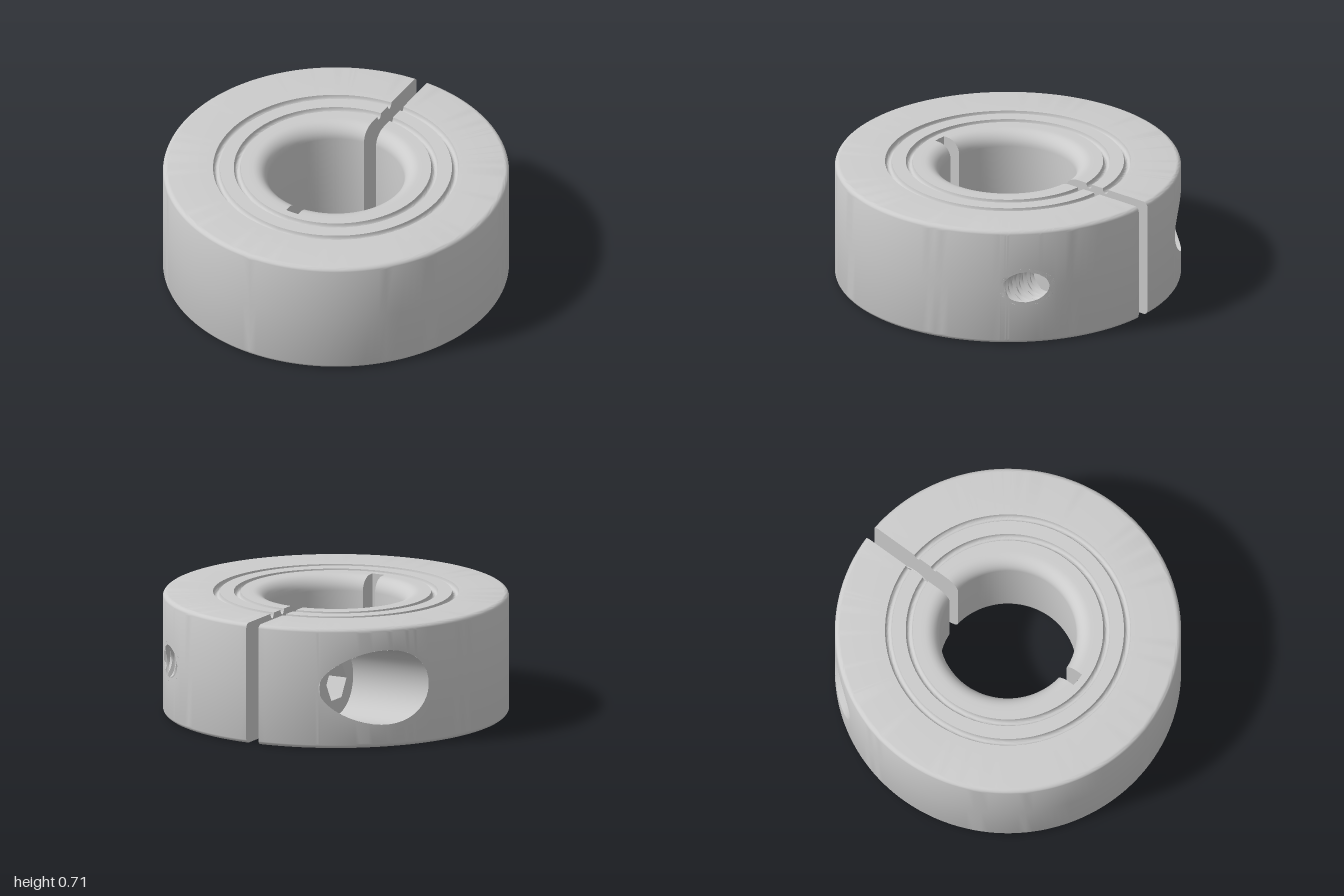
import * as THREE from 'three';
import { toCreasedNormals } from 'three/addons/utils/BufferGeometryUtils.js';

const H = 0.71, BORE = 0.395, FILLET = 0.085, EDGE = 0.03;
const GAP = 0.04;               // half width of slot and notch
const NOTCH = 0.508;            // radius reached by the inner notch
const YC = 0.355, ZC = -0.7;    // screw axis, parallel to x
const HEAD_X = -0.39, TIP_X = 0.5, THREAD_R = 0.115, COUNTERBORE_R = 0.22;

const material = new THREE.MeshStandardMaterial({ color: 0xcccccc, side: THREE.DoubleSide });

function mesh(name, geometry, parent) {
  const m = new THREE.Mesh(geometry, material);
  m.name = name;
  parent.add(m);
  return m;
}

// Surface through a grid of points; point(i, j) returns [x, y, z]
function grid(rows, cols, point, flip = false) {
  const pos = [], index = [];
  for (let i = 0; i < rows; i++) for (let j = 0; j < cols; j++) {
    pos.push(...point(i, j));
    if (i === rows - 1 || j === cols - 1) continue;
    const a = i * cols + j, b = a + cols, c = a + 1, d = b + 1;
    index.push(...(flip ? [a, c, b, b, c, d] : [a, b, c, b, d, c]));
  }
  const g = new THREE.BufferGeometry();
  g.setAttribute('position', new THREE.Float32BufferAttribute(pos, 3));
  g.setIndex(index);
  return toCreasedNormals(g, 0.6);
}

// Quarter or half ellipse as [radius, height] points
function arc(cr, cy, a, b, from, to, n) {
  return Array.from({ length: n + 1 }, (_, i) => {
    const t = (from + (to - from) * i / n) * Math.PI;
    return [cr + a * Math.cos(t), cy + b * Math.sin(t)];
  });
}

// Ring section, counter-clockwise from the top of the outer wall to its foot.
// A third value marks points which the notch cuts.
const cut = (points) => points.map(([r, y]) => [r, y, true]);
const section = [
  ...arc(1 - EDGE, H - EDGE, EDGE, EDGE, 0, 0.5, 6),
  ...arc(0.69, H, 0.02, 0.03, 0, -1, 8),
  ...arc(0.57, H, 0.02, 0.03, 0, -1, 8),
  [NOTCH, H], [NOTCH, H, true],
  ...cut(arc(BORE + FILLET, H - FILLET, FILLET, FILLET, 0.5, 1, 8)),
  ...cut(arc(BORE + FILLET, FILLET, FILLET, FILLET, 1, 1.5, 8)),
  [NOTCH, 0, true], [NOTCH, 0],
  ...arc(1 - EDGE, EDGE, EDGE, EDGE, -0.5, 0, 6),
];

// Half ring with a round side opening of the given radius
function halfShell(side, holeR) {
  const start = Math.asin(GAP);
  const h0 = Math.acos(-(ZC - holeR)), h1 = Math.acos(-(ZC + holeR));
  const angles = [];
  for (let i = 0; i <= 72; i++) {
    const t = start + (Math.PI - start) * i / 72;
    if (t < h0 - 0.005 || t > h1 + 0.005) angles.push(t);
  }
  for (let i = 0; i <= 40; i++) angles.push(Math.acos(-(ZC - holeR * Math.cos(Math.PI * i / 40))));
  angles.sort((a, b) => a - b);
  const rows = section.length + 2;
  return grid(rows, angles.length, (i, j) => {
    let r = 1, y, open = false;
    if (i === 0 || i === rows - 1) {
      const dz = -Math.cos(angles[j]) - ZC;
      const h = Math.sqrt(Math.max(0, holeR * holeR - dz * dz));
      y = i === 0 ? YC + h : YC - h;
    } else [r, y, open] = section[i - 1];
    const a = Math.asin(GAP / r), b = open ? Math.PI - a : Math.PI;
    const t = a + (b - a) * (angles[j] - start) / (Math.PI - start);
    return [side * r * Math.sin(t), y, -r * Math.cos(t)];
  }, side < 0);
}

// Flat wall at x = side * GAP with the outline of the section
function flatWall(side, points, zSign) {
  const shape = new THREE.Shape(points.map(([r, y]) =>
    new THREE.Vector2(Math.sqrt(r * r - GAP * GAP), y)));
  const g = new THREE.ShapeGeometry(shape);
  g.rotateY(zSign > 0 ? -Math.PI / 2 : Math.PI / 2);
  g.translate(side * GAP, 0, 0);
  return g;
}

// Tube along the screw axis; optionally trimmed to the outer wall
function axisTube(side, x0, x1, rows, radius, trim) {
  return grid(rows, 49, (i, j) => {
    const a = 2 * Math.PI * j / 48;
    let x = x0 + (x1 - x0) * i / (rows - 1);
    const r = radius(x, a, i === rows - 1);
    const z = ZC + r * Math.sin(a);
    if (trim) x = Math.min(x, Math.sqrt(1 - z * z));
    return [side * x, YC + r * Math.cos(a), z];
  }, side > 0);
}

// Helical V thread
function threadRadius(x, a, last) {
  const p = x / 0.033 + a / (2 * Math.PI) + 100;
  return last ? THREAD_R : THREAD_R - 0.022 * Math.abs(2 * (p - Math.floor(p)) - 1);
}

function polygon(path, n, r) {
  for (let i = 0; i < n; i++) {
    const a = 2 * Math.PI * i / n;
    path[i ? 'lineTo' : 'moveTo'](r * Math.cos(a), r * Math.sin(a));
  }
  path.closePath();
  return path;
}

export function createModel() {
  const model = new THREE.Group();
  model.name = 'clampCollar';

  // Split ring body
  const body = new THREE.Group();
  body.name = 'body';
  model.add(body);
  for (const side of [1, -1]) {
    const label = side > 0 ? 'left' : 'right';
    mesh(label + 'RingHalf', halfShell(side, side > 0 ? THREAD_R : COUNTERBORE_R), body);
    mesh(label + 'SlotWall', flatWall(side, section, -1), body);
    mesh(label + 'NotchWall', flatWall(side, section.filter(p => p[2]), 1), body);
  }
  const notchEnd = mesh('notchEnd', new THREE.PlaneGeometry(GAP * 2, H), body);
  notchEnd.position.set(0, H / 2, NOTCH - 0.001);
  notchEnd.rotation.y = Math.PI;

  // Counterbore with its floor, and the tapped hole opposite
  mesh('counterbore', axisTube(-1, 0.2, 1, 2, () => COUNTERBORE_R, true), body);
  const floor = mesh('counterboreFloor', new THREE.CircleGeometry(COUNTERBORE_R, 48), body);
  floor.position.set(-0.2, YC, ZC);
  floor.rotation.y = -Math.PI / 2;
  mesh('tappedHole', axisTube(1, TIP_X - 0.03, 0.83, 48, threadRadius, true), body);

  // Clamp screw: threaded shank, tip and socket head
  const screw = new THREE.Group();
  screw.name = 'clampScrew';
  model.add(screw);
  mesh('shank', axisTube(1, -0.2, TIP_X, 90, threadRadius, false), screw);
  const tip = mesh('screwTip', new THREE.CircleGeometry(THREAD_R, 48), screw);
  tip.position.set(TIP_X, YC, ZC);
  tip.rotation.y = Math.PI / 2;

  const headShape = polygon(new THREE.Shape(), 48, 0.2);
  headShape.holes.push(polygon(new THREE.Path(), 6, 0.12));
  const depth = -0.2 - HEAD_X;
  const headGeo = new THREE.ExtrudeGeometry(headShape, { depth, bevelEnabled: false });
  const head = mesh('socketHead', toCreasedNormals(headGeo, 0.5), screw);
  head.position.set(-0.2, YC, ZC);
  head.rotation.y = -Math.PI / 2;
  const socket = mesh('socketFloor', new THREE.CircleGeometry(0.125, 6), screw);
  socket.position.set(HEAD_X + 0.12, YC, ZC);
  socket.rotation.y = -Math.PI / 2;

  return model;
}
